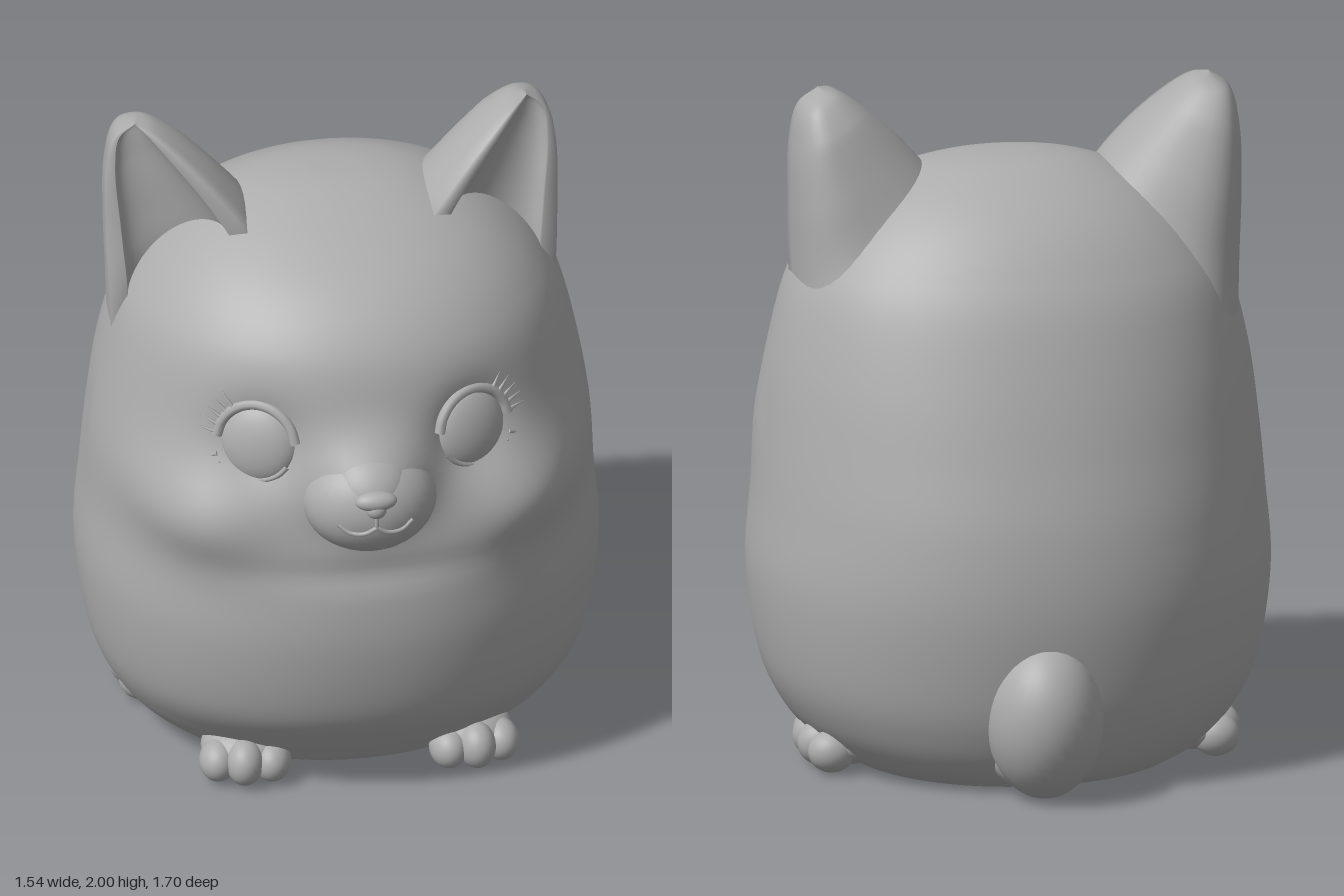
import * as THREE from 'three';

const grey = new THREE.MeshStandardMaterial({ color: 0xacacac });
grey.name = 'plain grey';
const V = (x, y, z) => new THREE.Vector3(x, y, z);

function add(parent, name, geometry, pos = [0, 0, 0], scale = [1, 1, 1], rot = [0, 0, 0]) {
  const mesh = new THREE.Mesh(geometry, grey);
  mesh.name = name;
  mesh.position.set(...pos);
  mesh.scale.set(...scale);
  mesh.rotation.set(...rot);
  parent.add(mesh);
  return mesh;
}

const ball = (parent, name, pos, radii, rot) =>
  add(parent, name, new THREE.SphereGeometry(1, 32, 24), pos, radii, rot);

const tube = (parent, name, points, radius) =>
  add(parent, name, new THREE.TubeGeometry(new THREE.CatmullRomCurve3(points), 24, radius, 8));

// Sign-preserving power, for squarer or rounder ellipses
const power = (v, e) => Math.sign(v) * Math.abs(v) ** e;

// Smooth skin over closed rings, stacked upwards
function loft(rings) {
  const n = rings[0].length, pos = [], index = [];
  rings.forEach(r => r.forEach(p => pos.push(p.x, p.y, p.z)));
  for (let j = 0; j < rings.length - 1; j++) {
    for (let i = 0; i < n; i++) {
      const k = (i + 1) % n, a = j * n + i, b = j * n + k;
      index.push(a, b, b + n, a, b + n, a + n);
    }
  }
  const g = new THREE.BufferGeometry();
  g.setAttribute('position', new THREE.Float32BufferAttribute(pos, 3));
  g.setIndex(index);
  g.computeVertexNormals();
  return g;
}

// Body sections: height, half width, front depth, back depth
const SECTIONS = [
  [0.00, 0.50, 0.42, 0.54],
  [0.05, 0.58, 0.48, 0.61],
  [0.15, 0.67, 0.58, 0.67],
  [0.30, 0.735, 0.69, 0.715],
  [0.55, 0.768, 0.742, 0.742],
  [0.78, 0.752, 0.735, 0.722],
  [1.00, 0.732, 0.70, 0.665],
  [1.20, 0.705, 0.675, 0.605],
  [1.40, 0.655, 0.64, 0.53],
  [1.52, 0.59, 0.58, 0.46],
  [1.62, 0.50, 0.475, 0.38],
  [1.70, 0.39, 0.33, 0.285],
  [1.76, 0.25, 0.175, 0.18],
  [1.785, 0.12, 0.08, 0.09],
  [1.79, 0, 0, 0],
];

// Soft swellings and hollows of the face: x, y, spread x, spread y, amount
const BUMPS = [
  [0.49, 0.97, 0.19, 0.14, 0.075],
  [-0.49, 0.97, 0.19, 0.14, 0.075],
  [0, 1.12, 0.15, 0.13, 0.12],
  [0, 0.815, 0.32, 0.045, -0.014],
  [0.31, 1.21, 0.11, 0.12, -0.055],
  [-0.31, 1.21, 0.11, 0.12, -0.055],
];

function bodyGeometry() {
  const spline = new THREE.CubicInterpolant(SECTIONS.map((_, i) => i), SECTIONS.flat(), 4, new Float32Array(4));
  const last = SECTIONS.length - 1, rows = 112, around = 128;
  const ring = (y, w, f, b) => Array.from({ length: around }, (_, i) => {
    const a = i / around * Math.PI * 2, s = Math.sin(a), c = Math.cos(a);
    const p = V(w * power(s, 0.95), y, (c > 0 ? f : b) * power(c, 0.95));
    if (c > 0) {
      const { x } = p;
      for (const [bx, by, sx, sy, amount] of BUMPS) {
        const push = amount * Math.exp(-(((x - bx) / sx) ** 2) - ((y - by) / sy) ** 2);
        p.x += s * push * 0.5;
        p.z += Math.min(1, c * 2) * push;
      }
    }
    return p;
  });
  const rings = [ring(0, 0, 0, 0), ring(0, 0.49, 0.41, 0.53)];
  for (let j = 0; j <= rows; j++) {
    const [y, w, f, b] = spline.evaluate(j / rows * last);
    rings.push(ring(y, Math.max(w, 0), Math.max(f, 0), Math.max(b, 0)));
  }
  return loft(rings);
}

// Cupped ear: a thick crescent section running from the base to a rounded tip
function earGeometry(side) {
  const inner = new THREE.CatmullRomCurve3([V(0.24, 1.50, 0.18), V(0.27, 1.67, 0.215), V(0.36, 1.80, 0.19), V(0.48, 1.925, 0.13), V(0.55, 1.98, 0.08), V(0.595, 1.995, 0.03)]);
  const outer = new THREE.CatmullRomCurve3([V(0.665, 1.22, 0.05), V(0.675, 1.45, 0.075), V(0.682, 1.66, 0.055), V(0.68, 1.84, 0.04), V(0.655, 1.95, 0.03), V(0.595, 1.995, 0.03)]);
  const back = V(-0.13, 0.02, -0.99), rings = [], steps = 40, half = 24;
  for (let j = 0; j <= steps; j++) {
    const t = 1 - (1 - j / steps) ** 1.5;
    const A = inner.getPoint(t), B = outer.getPoint(t);
    const mid = A.clone().add(B).multiplyScalar(0.5);
    const arm = A.clone().sub(B).multiplyScalar(0.5);
    const depth = 0.45 * (1 - t) ** 0.72;
    const ring = [];
    const point = (width, d, a, e) => ring.push(mid.clone()
      .addScaledVector(arm, -width * power(Math.cos(a), e))
      .addScaledVector(back, d * power(Math.sin(a), e)));
    for (let k = 0; k <= half; k++) {
      const a = k / half * Math.PI;
      point(1 + 0.35 * Math.sin(a), depth, a, 0.85);
    }
    for (let k = half; k >= 0; k--) point(0.76, depth * 0.3, k / half * Math.PI, 1);
    ring.forEach(p => { p.x = side * (p.x - (side > 0 ? 0.035 : -0.005)); });
    if (side < 0) ring.reverse();
    rings.push(ring);
  }
  return loft(rings);
}

// Eye with lids and lashes, in a frame facing out of the face
function eye(side) {
  const g = new THREE.Group();
  g.name = side > 0 ? 'leftEye' : 'rightEye';
  g.position.set(side * 0.31, 1.205, 0.564);
  g.rotation.set(-0.18, side * 0.47, 0, 'YXZ');
  ball(g, 'eyeball', [0, 0, 0], [0.12, 0.124, 0.055]);
  const arc = (from, to, rx, ry, z) => Array.from({ length: 9 }, (_, i) => {
    const a = (from + (to - from) * i / 8) * Math.PI / 180;
    return V(side * rx * Math.cos(a), ry * Math.sin(a), z);
  });
  tube(g, 'upperLid', arc(5, 170, 0.122, 0.124, 0.028), 0.016);
  tube(g, 'lowerLid', arc(-150, -20, 0.112, 0.112, 0.022), 0.009);
  for (const deg of [10, 21, 32, 43, 54, -22, -34, -46, -58]) {
    const a = deg * Math.PI / 180, long = deg > 0 ? 0.065 : 0.045, r = 0.124 + long / 2;
    const lash = new THREE.ConeGeometry(0.007, long, 6);
    add(g, 'lash', lash, [side * r * Math.cos(a), r * Math.sin(a), 0.035], [1, 1, 1], [0, 0, side * (a - Math.PI / 2)]);
  }
  return g;
}

// Paw with a row of plump toes, pointing along its own +z
function paw(name, x, z, turn, width, toes) {
  const g = new THREE.Group();
  g.name = name;
  g.position.set(x, 0, z);
  g.rotation.y = turn;
  ball(g, 'pawPad', [0, 0.078, -0.04], [width * 0.97, 0.078, 0.12]);
  for (let i = 0; i < toes; i++) {
    const u = i / (toes - 1) * 2 - 1, mid = 1 - Math.abs(u);
    const size = 1.25 / toes;
    ball(g, 'toe', [u * width * (1 - size), 0.063 + mid * 0.008, 0.025 + mid * 0.025], [width * size, 0.063 + mid * 0.008, 0.07]);
  }
  return g;
}

export function createModel() {
  const model = new THREE.Group();
  model.name = 'sittingPet';
  add(model, 'body', bodyGeometry());

  // Muzzle, nose and mouth
  const C = V(0, 1.055, 0.665), R = V(0.2, 0.165, 0.165);
  ball(model, 'muzzle', C.toArray(), R.toArray());
  ball(model, 'bridge', [0, 1.14, 0.70], [0.12, 0.085, 0.125], [0.5, 0, 0]);
  ball(model, 'nose', [0, 1.125, 0.817], [0.062, 0.03, 0.032]);
  ball(model, 'noseTip', [0, 1.10, 0.825], [0.03, 0.028, 0.025]);
  const onMuzzle = (x, y) =>
    V(x, y, C.z + R.z * Math.sqrt(1 - (x / R.x) ** 2 - ((y - C.y) / R.y) ** 2));
  tube(model, 'philtrum', [onMuzzle(0, 1.09), onMuzzle(0, 1.065), onMuzzle(0, 1.04)], 0.006);
  for (const side of [1, -1]) {
    tube(model, 'mouth', [[0, 1.04], [0.035, 1.02], [0.075, 1.02], [0.11, 1.045]]
      .map(([x, y]) => onMuzzle(side * x, y)), 0.007);
  }

  // Paired parts
  for (const side of [1, -1]) {
    const label = side > 0 ? 'left' : 'right';
    add(model, label + 'Ear', earGeometry(side));
    model.add(eye(side));
    model.add(paw(label + 'FrontPaw', side * 0.335, 0.455, side * 0.15, 0.135, 3));
    model.add(paw(label + 'SidePaw', side * 0.545, -0.15, side * Math.PI / 2, 0.195, 4));
  }

  // Tail, with a rounded base tucked under the back
  ball(model, 'tail', [0, 0.235, -0.66], [0.172, 0.24, 0.192], [-0.15, 0, 0]);
  ball(model, 'tailBase', [0, 0.11, -0.59], [0.15, 0.11, 0.15]);
  return model;
}
